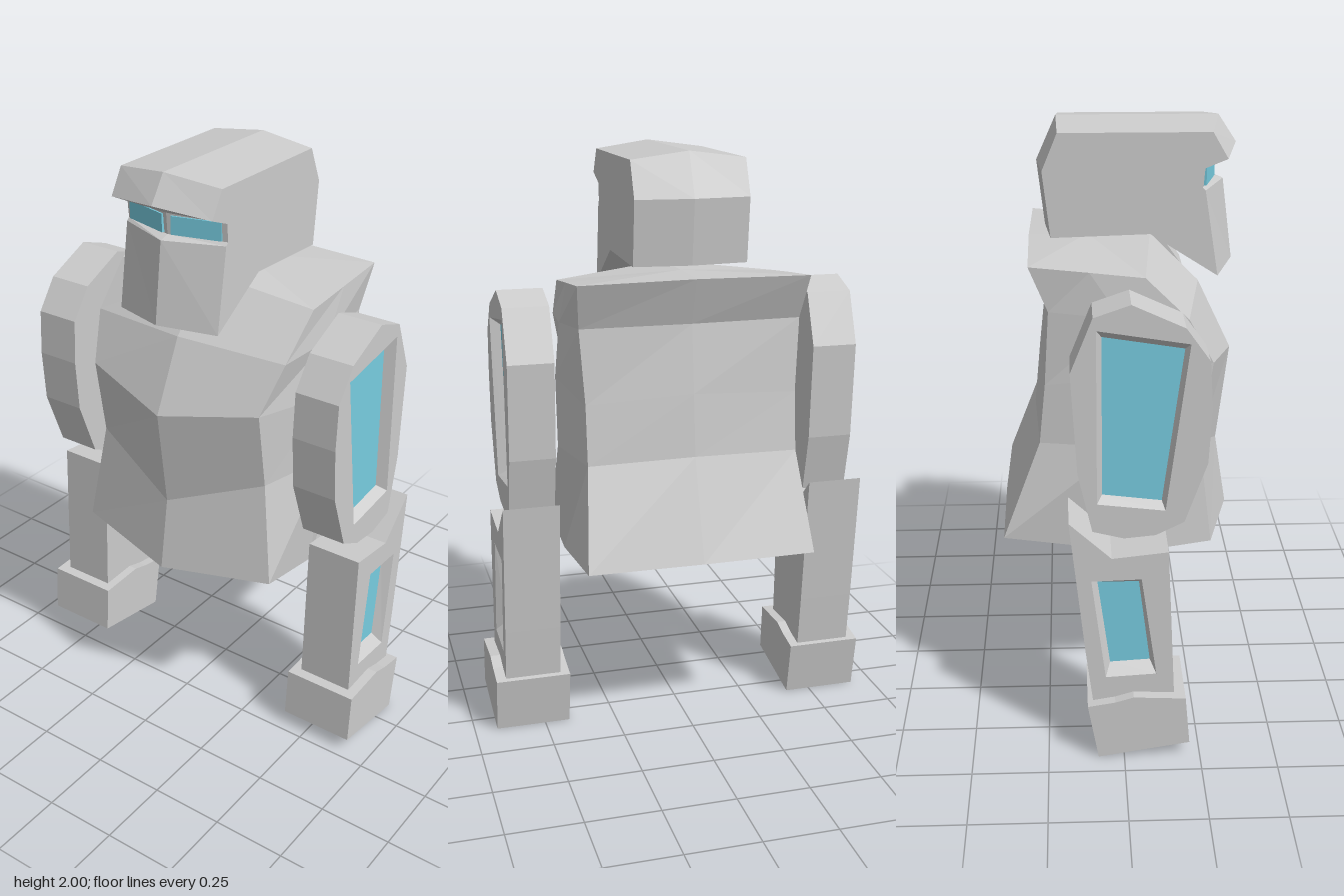
import * as THREE from 'three';
import { mergeGeometries } from 'three/addons/utils/BufferGeometryUtils.js';

const grey = new THREE.MeshStandardMaterial({ color: 0xcccccc, flatShading: true });
const glass = new THREE.MeshStandardMaterial({ color: 0x77cce0, flatShading: true });

// Faceted skin through rings of [x, y, z] points
function loft(rings) {
  const pos = [];
  for (let i = 0; i < rings.length - 1; i++) {
    const n = rings[i].length;
    for (let j = 0; j < n; j++) {
      const k = (j + 1) % n;
      const a = rings[i][j], b = rings[i][k], c = rings[i + 1][k], d = rings[i + 1][j];
      pos.push(...a, ...b, ...c, ...a, ...c, ...d);
    }
  }
  const g = new THREE.BufferGeometry();
  g.setAttribute('position', new THREE.Float32BufferAttribute(pos, 3));
  g.computeVertexNormals();
  return g;
}

// Profiles are [z, y] points, running down the front and up the back
const at = (profile, x) => profile.map(([z, y]) => [x, y, z]);

// Flat face at x, looking towards +x (side 1) or -x (side -1)
function face(profile, x, side, hole) {
  const pts = p => p.map(([z, y]) => new THREE.Vector2(-side * z, y));
  const shape = new THREE.Shape(pts(profile));
  if (hole) shape.holes.push(new THREE.Path(pts(hole)));
  const g = new THREE.ShapeGeometry(shape).toNonIndexed();
  g.deleteAttribute('uv');
  return g.rotateY(side * Math.PI / 2).translate(x, 0, 0);
}

// Solid between side profiles placed at increasing x, with an optional bevelled recess
function slab(sections, hole, pane, depth) {
  const [p0, x0] = sections[0];
  const [p1, x1] = sections[sections.length - 1];
  const parts = [loft(sections.map(([p, x]) => at(p, x))), face(p0, x0, -1), face(p1, x1, 1, hole)];
  if (hole) parts.push(loft([at(hole, x1), at(pane, x1 - depth)]));
  return mergeGeometries(parts);
}

function add(parent, name, geometry, material = grey) {
  const mesh = new THREE.Mesh(geometry, material);
  mesh.name = name;
  parent.add(mesh);
  return mesh;
}

// Torso: each row holds [x, y, z] for front centre, front corner, side, back corner, back centre
function torsoGeometry() {
  const rows = [
    [[0, .61, .39], [.385, .645, .3], [.385, .607, .05], [.39, .67, -.39], [0, .67, -.395]],
    [[0, .86, .35], [.335, .99, .26], [.408, 1, 0], [.36, 1, -.265], [0, 1.01, -.285]],
    [[0, 1.2, .39], [.335, 1.26, .3], [.408, 1.24, .02], [.36, 1.2, -.245], [0, 1.22, -.265]],
    [[0, 1.44, .275], [.375, 1.42, .215], [.395, 1.43, 0], [.375, 1.45, -.23], [0, 1.45, -.24]],
    [[0, 1.605, .11], [.385, 1.56, .075], [.388, 1.58, -.1], [.39, 1.6, -.29], [0, 1.605, -.295]],
  ];
  const rings = rows.map(r => [...r, ...r.slice(1, 4).reverse().map(([x, y, z]) => [-x, y, z])]);
  const cap = p => rings[0].map(() => p);
  return loft([cap([0, .565, .07]), ...rings, cap([0, 1.605, -.1])]);
}

// Head: one profile on the centre line and one for both sides, with a visor slot under the brow
function buildHead() {
  const head = new THREE.Group();
  head.name = 'head';
  const middle = [[.33, 2], [.39, 1.91], [.32, 1.87], [.315, 1.8], [.35, 1.79], [.385, 1.52],
    [.1, 1.65], [-.24, 1.64], [-.265, 1.855], [-.2, 2]];
  const side = [[.295, 1.975], [.345, 1.89], [.27, 1.86], [.265, 1.8], [.275, 1.79], [.32, 1.51],
    [.1, 1.65], [-.22, 1.64], [-.245, 1.855], [-.195, 1.975]];
  add(head, 'helmet', slab([[side, -.192], [middle, 0], [side, .192]]));
  for (const s of [-1, 1]) {
    const eye = add(head, s > 0 ? 'leftVisor' : 'rightVisor', new THREE.BoxGeometry(.165, .06, .014), glass);
    eye.position.set(s * .095, 1.833, .293);
    eye.rotation.y = s * .257;
  }
  return head;
}

// Left arm: upper arm, forearm and fist, with glazed recesses on the outside
function buildArm() {
  const arm = new THREE.Group();
  const upper = [[.02, 1.545], [.185, 1.47], [.26, 1.365], [.27, 1.21], [.26, 1.03], [.19, .83], [.1, .785],
    [0, .775], [-.1, .8], [-.145, 1], [-.165, 1.33], [-.095, 1.505]];
  const upperHole = [[.2, 1.42], [.13, .87], [-.085, .895], [-.085, 1.465]];
  const upperPane = [[.185, 1.395], [.12, .89], [-.068, .913], [-.068, 1.435]];
  const fore = [[.14, .74], [.165, .2], [-.1, .18], [-.125, .38], [-.175, .845], [-.04, .72]];
  const foreHole = [[.055, .645], [.105, .295], [-.06, .285], [-.105, .64]];
  const forePane = [[.048, .62], [.085, .33], [-.045, .322], [-.085, .62]];
  const fist = [[.2, .22], [.215, .05], [-.085, 0], [-.12, .195], [-.03, .21], [.03, .228]];

  add(arm, 'upperArm', slab([[upper, .449], [upper, .605]], upperHole, upperPane, .035));
  add(arm, 'upperArmWindow', face(upperPane, .57, 1), glass);
  add(arm, 'forearm', slab([[fore, .445], [fore, .637]], foreHole, forePane, .035));
  add(arm, 'forearmWindow', face(forePane, .602, 1), glass);
  add(arm, 'fist', slab([[fist, .413], [fist, .672]]));
  return arm;
}

export function createModel() {
  const model = new THREE.Group();
  model.name = 'robot';
  const body = new THREE.Group();
  body.name = 'body';
  body.position.x = .006;
  add(body, 'torso', torsoGeometry());
  body.add(buildHead());
  model.add(body);

  // Arms, mirrored
  for (const s of [1, -1]) {
    const arm = buildArm();
    arm.name = s > 0 ? 'leftArm' : 'rightArm';
    arm.scale.x = s;
    model.add(arm);
  }
  return model;
}
